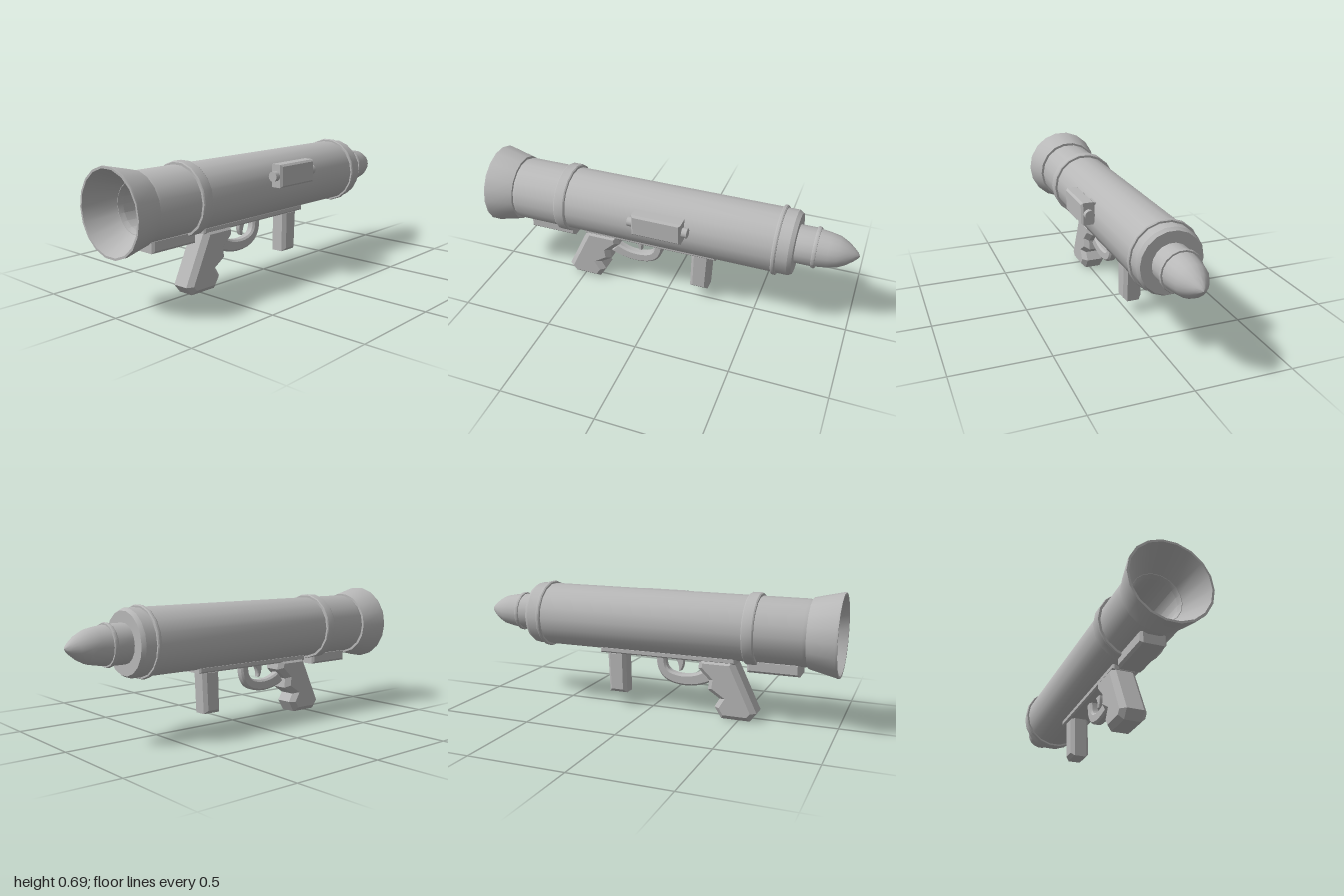
import * as THREE from 'three';
import { toCreasedNormals } from 'three/addons/utils/BufferGeometryUtils.js';

const AXIS_X = -0.018, AXIS_Y = 0.48;

export function createModel() {
  const model = new THREE.Group();
  model.name = 'launcher';
  const grey = new THREE.MeshStandardMaterial({ color: 0xb8b8b8, side: THREE.DoubleSide });
  grey.name = 'grey';

  function add(name, geometry, x = 0, y = 0, z = 0) {
    const mesh = new THREE.Mesh(geometry, grey);
    mesh.name = name;
    mesh.position.set(x, y, z);
    model.add(mesh);
    return mesh;
  }

  // Part turned around the barrel axis; profile is [radius, z]
  function turned(name, profile) {
    const points = profile.map(([r, z]) => new THREE.Vector2(r, z));
    const geometry = new THREE.LatheGeometry(points, 18, Math.PI / 2).rotateX(Math.PI / 2);
    add(name, toCreasedNormals(geometry, 0.5), AXIS_X, AXIS_Y);
  }

  // Side outline in [z, y], extruded across x with chamfered edges
  function slab(name, outline, width, bevel, x = AXIS_X) {
    const shape = outline instanceof THREE.Shape
      ? outline
      : new THREE.Shape(outline.map(([z, y]) => new THREE.Vector2(z, y)));
    const geometry = new THREE.ExtrudeGeometry(shape, {
      depth: width - 2 * bevel, bevelEnabled: true, bevelThickness: bevel,
      bevelSize: bevel, bevelOffset: -bevel, bevelSegments: 1, curveSegments: 8,
    });
    geometry.translate(0, 0, bevel - width / 2).rotateY(-Math.PI / 2);
    add(name, toCreasedNormals(geometry, 0.5), x);
  }
  const rect = (z0, z1, y0, y1) => [[z0, y0], [z1, y0], [z1, y1], [z0, y1]];

  // Barrel: hollow, with chamfered ends
  turned('barrel', [
    [0.1, -0.69], [0.158, -0.69], [0.17, -0.67], [0.17, 0.83], [0.163, 0.855],
    [0.125, 0.855], [0.115, 0.83], [0.115, -0.66], [0.1, -0.69],
  ]);
  turned('exhaustBell', [
    [0.125, 0.85], [0.178, 0.85], [0.211, 0.99], [0.211, 1], [0.2, 1], [0.125, 0.85],
  ]);
  turned('rearBand', [
    [0.165, 0.535], [0.182, 0.535], [0.186, 0.541], [0.186, 0.589], [0.182, 0.595], [0.165, 0.595],
  ]);
  turned('frontRing', [
    [0.165, -0.612], [0.179, -0.612], [0.183, -0.606], [0.183, -0.596], [0.179, -0.59], [0.165, -0.59],
  ]);

  // Rocket: open shell seated in the muzzle
  turned('rocket', [
    [0, -1], [0.016, -0.99], [0.033, -0.972], [0.058, -0.94], [0.081, -0.895],
    [0.09, -0.85], [0.097, -0.795], [0.1, -0.77], [0.1, -0.66],
  ]);
  turned('rocketRing', [
    [0.095, -0.795], [0.105, -0.795], [0.108, -0.788], [0.108, -0.782], [0.105, -0.775], [0.095, -0.775],
  ]);

  // Underside rail and rear block
  slab('rail', rect(-0.28, 0.48, 0.295, 0.33), 0.12, 0.008);
  slab('rearBlock', rect(0.54, 0.81, 0.265, 0.335), 0.13, 0.012);

  // Pistol grip with finger grooves
  slab('pistolGrip', [
    [0.466, 0.315], [0.595, 0.045], [0.56, 0], [0.408, 0], [0.37, 0.06], [0.397, 0.105],
    [0.332, 0.147], [0.338, 0.2], [0.278, 0.257], [0.285, 0.315],
  ], 0.137, 0.025);
  slab('foregrip', [[-0.247, 0.31], [-0.236, 0.075], [-0.134, 0.075], [-0.14, 0.31]], 0.1, 0.018);

  // Trigger guard: a curved strap
  const guard = new THREE.Shape();
  guard.moveTo(0.345, 0.185);
  guard.bezierCurveTo(0.26, 0.135, 0.13, 0.135, 0.075, 0.18);
  guard.bezierCurveTo(0.045, 0.21, 0.032, 0.24, 0.032, 0.305);
  guard.lineTo(0.083, 0.305);
  guard.bezierCurveTo(0.085, 0.25, 0.09, 0.235, 0.115, 0.22);
  guard.bezierCurveTo(0.16, 0.2, 0.24, 0.2, 0.3, 0.24);
  guard.closePath();
  slab('triggerGuard', guard, 0.05, 0.01);

  // Trigger
  const trigger = new THREE.Shape();
  trigger.moveTo(0.125, 0.305);
  trigger.quadraticCurveTo(0.165, 0.265, 0.158, 0.225);
  trigger.lineTo(0.172, 0.225);
  trigger.quadraticCurveTo(0.195, 0.265, 0.18, 0.305);
  trigger.closePath();
  slab('trigger', trigger, 0.03, 0.004);

  // Side sight with its bracket and an end knob at each side
  slab('sightBox', rect(-0.145, 0.12, 0.497, 0.616), 0.073, 0.01, 0.192);
  add('sightBracket', new THREE.BoxGeometry(0.06, 0.06, 0.075), 0.147, 0.55, -0.018);
  for (const z of [0.125, -0.15]) {
    const knob = new THREE.CylinderGeometry(0.026, 0.026, 0.045, 12).rotateX(Math.PI / 2);
    add('sightKnob', knob, 0.192, 0.556, z);
  }

  return model;
}
